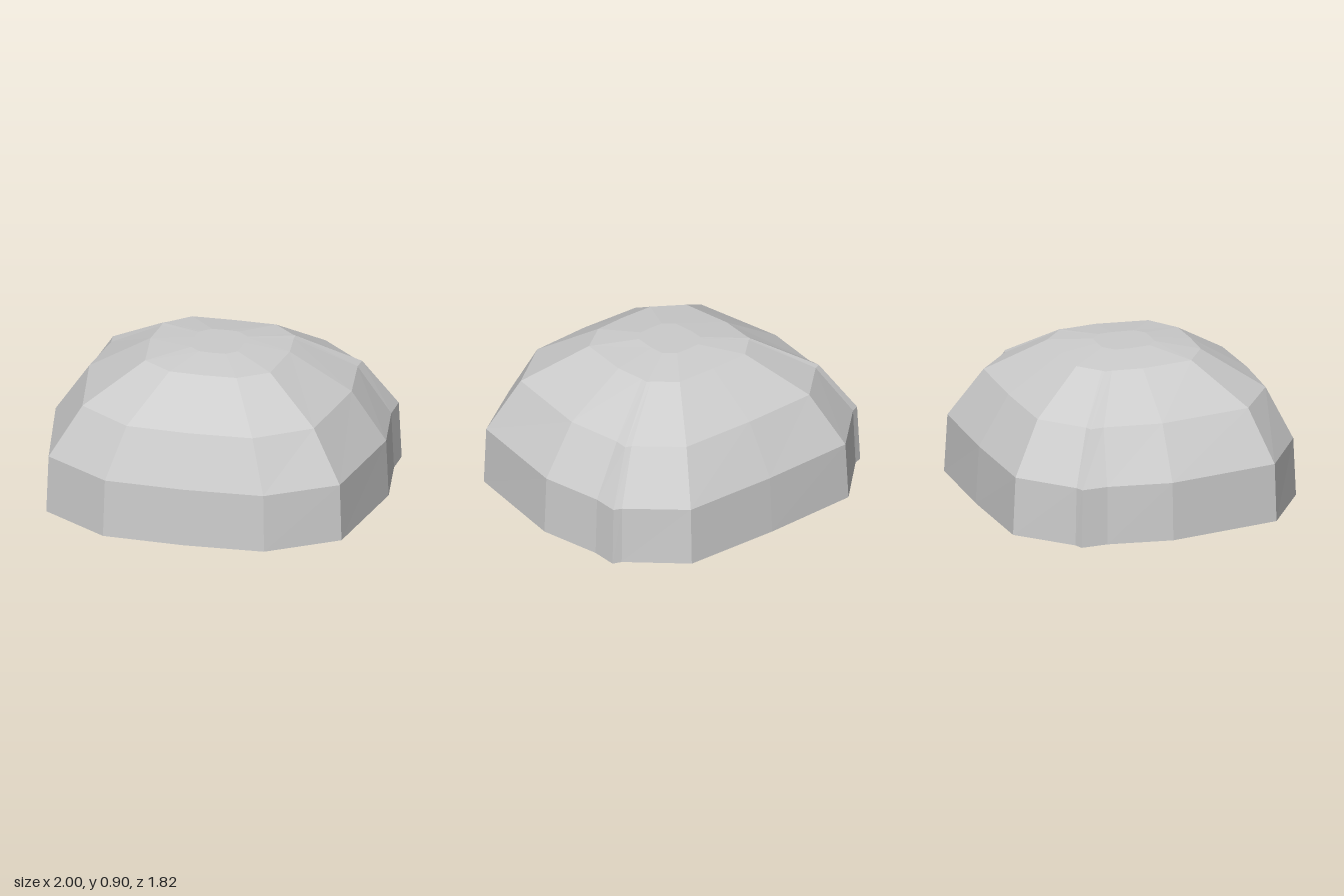
import * as THREE from 'three';

// Half outlines [x, z] from the front centre round the left side to the back centre.
const levels = [
  { y: 0, half: [[0, 0.908], [0.48, 0.888], [0.88, 0.627], [1, -0.05], [0.94, -0.435], [0.948, -0.595], [0.895, -0.615], [0.6, -0.895], [0, -0.913]] },
  { y: 0.347, half: [[0, 0.894], [0.472, 0.874], [0.868, 0.62], [0.985, -0.05], [0.925, -0.43], [0.933, -0.585], [0.885, -0.605], [0.592, -0.877], [0, -0.893]] },
  { y: 0.645, half: [[0, 0.755], [0.375, 0.738], [0.69, 0.52], [0.782, -0.04], [0.735, -0.385], [0.742, -0.468], [0.705, -0.482], [0.47, -0.698], [0, -0.712]] },
  { y: 0.862, half: [[0, 0.408], [0.2, 0.4], [0.373, 0.282], [0.415, -0.03], [0.395, -0.215], [0.395, -0.258], [0.375, -0.27], [0.25, -0.382], [0, -0.388]] },
  { y: 0.897, half: [[0, 0.164], [0.08, 0.16], [0.14, 0.11], [0.152, -0.02], [0.147, -0.085], [0.145, -0.105], [0.135, -0.115], [0.08, -0.162], [0, -0.166]] },
];

export function createModel() {
  const group = new THREE.Group();
  group.name = 'facetedDome';
  const lightGrey = new THREE.MeshStandardMaterial({ color: 0xcccccc, flatShading: true });
  lightGrey.name = 'lightGrey';

  // Mirror each half outline into a closed ring.
  const rings = levels.map(({ y, half }) => {
    const mirrored = half.slice(1, -1).reverse().map(([x, z]) => [-x, z]);
    return [...half, ...mirrored].map(([x, z]) => [x, y, z]);
  });
  const n = rings[0].length;

  const addMesh = (name, positions, index) => {
    const geometry = new THREE.BufferGeometry();
    geometry.setAttribute('position', new THREE.Float32BufferAttribute(positions, 3));
    geometry.setIndex(index);
    const flat = geometry.toNonIndexed();
    flat.computeVertexNormals();
    const mesh = new THREE.Mesh(flat, lightGrey);
    mesh.name = name;
    group.add(mesh);
  };

  // Shell: quads between neighbouring rings.
  const shellIndex = [];
  for (let r = 0; r < rings.length - 1; r++) {
    for (let i = 0; i < n; i++) {
      const j = (i + 1) % n;
      const a = r * n + i, b = r * n + j, c = b + n, d = a + n;
      shellIndex.push(a, b, c, a, c, d);
    }
  }
  addMesh('domeShell', rings.flat(2), shellIndex);

  // Flat caps: fans from a centre point.
  const addCap = (name, ring, facesUp) => {
    const index = [];
    for (let i = 0; i < n; i++) {
      const j = (i + 1) % n;
      if (facesUp) index.push(n, i, j);
      else index.push(n, j, i);
    }
    addMesh(name, [...ring.flat(), 0, ring[0][1], 0], index);
  };
  addCap('crown', rings[rings.length - 1], true);
  addCap('base', rings[0], false);
  return group;
}
